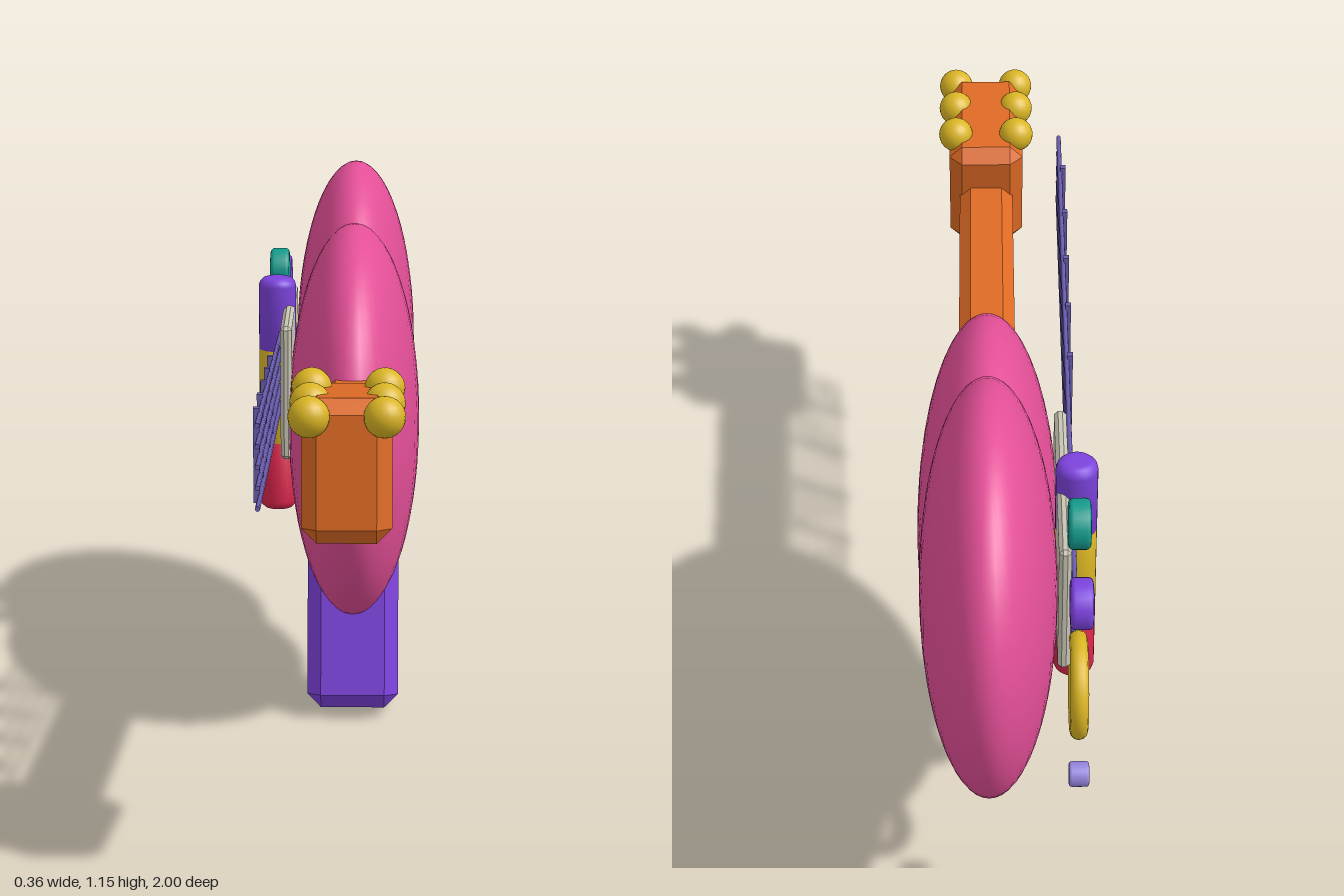
import * as THREE from 'three';
import { ConvexGeometry } from 'three/addons/geometries/ConvexGeometry.js';

const mat = (name, color) => {
  const m = new THREE.MeshStandardMaterial({ color });
  m.name = name;
  return m;
};

// Box with flat chamfers on every edge and corner
function chamferBox(w, h, d, c) {
  const pts = [];
  for (const sx of [-1, 1]) for (const sy of [-1, 1]) for (const sz of [-1, 1]) {
    const x = w / 2, y = h / 2, z = d / 2;
    pts.push(
      new THREE.Vector3(sx * x, sy * (y - c), sz * (z - c)),
      new THREE.Vector3(sx * (x - c), sy * y, sz * (z - c)),
      new THREE.Vector3(sx * (x - c), sy * (y - c), sz * z));
  }
  return new ConvexGeometry(pts);
}

// Cylinder with softened rims, standing along y
function softCylinder(r, h, b, bottom = true, top = true) {
  const p = [new THREE.Vector2(0, -h / 2)];
  const steps = [0, 1, 2, 3].map(i => i * Math.PI / 6);
  if (bottom) for (const a of steps) p.push(new THREE.Vector2(r - b + b * Math.sin(a), -h / 2 + b - b * Math.cos(a)));
  else p.push(new THREE.Vector2(r, -h / 2));
  if (top) for (const a of steps) p.push(new THREE.Vector2(r - b + b * Math.cos(a), h / 2 - b + b * Math.sin(a)));
  else p.push(new THREE.Vector2(r, h / 2));
  p.push(new THREE.Vector2(0, h / 2));
  return new THREE.LatheGeometry(p, 28);
}

export function createModel() {
  const model = new THREE.Group();
  model.name = 'toyGuitar';

  const pink = mat('pink', 0xe34f97);
  const orange = mat('orange', 0xdd6a24);
  const purple = mat('purple', 0x7c42dc);
  const yellow = mat('yellow', 0xdab524);
  const red = mat('red', 0xd6244a);
  const teal = mat('teal', 0x129a8c);
  const cream = mat('cream', 0xc8c4b4);
  const lavender = mat('lavender', 0x9484dc);
  const violet = mat('dull violet', 0x6a5cae);

  const add = (name, geo, material, x, y, z, rx = 0, rz = 0) => {
    const mesh = new THREE.Mesh(geo, material);
    mesh.name = name;
    mesh.position.set(x, y, z);
    mesh.rotation.set(rx, 0, rz);
    model.add(mesh);
    return mesh;
  };
  const cx = 0.035;   // middle plane of the instrument
  const side = -0.14; // plane of the fittings

  // Body: two overlapping flattened lobes
  const ball = new THREE.SphereGeometry(1, 48, 32);
  add('frontBodyLobe', ball, pink, cx, 0.628, -0.27).scale.set(0.145, 0.435, 0.459);
  add('rearBodyLobe', ball, pink, cx, 0.74, -0.587).scale.set(0.135, 0.41, 0.41);

  // Neck, headstock and stand
  add('neck', chamferBox(0.12, 0.125, 0.9, 0.025), orange, cx, 0.768, 0.35, -0.065);
  add('headstock', chamferBox(0.165, 0.265, 0.295, 0.028), orange, cx, 0.835, 0.83, -0.13);
  add('stand', chamferBox(0.2, 0.42, 0.165, 0.03), purple, cx, 0.219, -0.15, -0.22);

  // Tuning pegs in two rows
  const peg = new THREE.SphereGeometry(0.038, 20, 14);
  for (const s of [-1, 1])
    for (const z of [0.745, 0.86, 0.96])
      add('tuningPeg', peg, yellow, cx + s * 0.068, 0.954, z);

  // Plate behind the strings
  add('stringPlate', chamferBox(0.025, 0.3, 0.46, 0.008), cream, -0.113, 0.71, -0.4);

  // Strings rising gently toward the headstock
  const slope = 0.085;
  const stringY = z => 0.82 + (z - 0.82) * slope;
  const string = new THREE.CylinderGeometry(0.005, 0.005, 1.455, 8);
  for (let i = -2; i <= 2; i++)
    add('string', string, violet, -0.132, stringY(0.095) + i * 0.04, 0.095, Math.PI / 2 - slope);

  // Frets crossing the strings
  const fret = new THREE.BoxGeometry(0.012, 0.185, 0.014);
  for (let i = 0; i < 5; i++) {
    const z = 0.04 + i * 0.1625;
    add('fret', fret, violet, -0.139, stringY(z), z);
  }

  // Three-colour upright bar
  add('barTop', softCylinder(0.042, 0.165, 0.02, false, true), purple, side, 0.8375, -0.42);
  add('barMiddle', softCylinder(0.042, 0.215, 0.02, false, false), yellow, side, 0.6475, -0.42);
  add('barBottom', softCylinder(0.042, 0.16, 0.02, true, false), red, side, 0.46, -0.42);

  // Round controls facing sideways
  const knob = softCylinder(0.05, 0.044, 0.01);
  add('tealKnob', knob, teal, side, 0.9, -0.592, 0, Math.PI / 2);
  add('purpleKnob', knob, purple, side, 0.85, -0.767, 0, Math.PI / 2);
  add('smallKnob', softCylinder(0.025, 0.04, 0.006), lavender, side, 0.44, -0.8, 0, Math.PI / 2);

  // Ring handle
  const ring = new THREE.TorusGeometry(0.09, 0.018, 12, 36).rotateY(Math.PI / 2);
  add('ringHandle', ring, yellow, side, 0.575, -0.69);

  return model;
}
